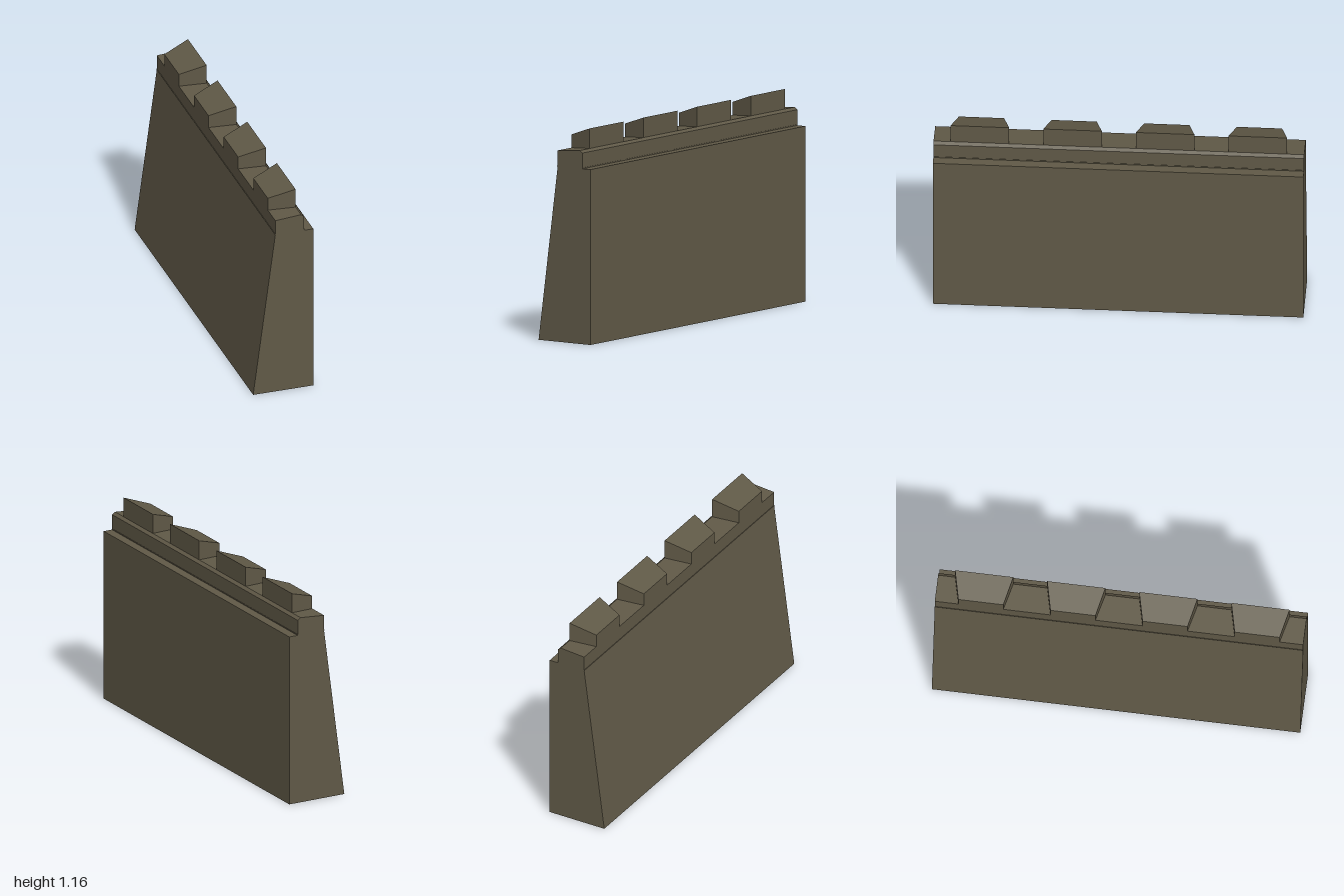
import * as THREE from 'three';

const stone = new THREE.MeshStandardMaterial({ color: 0x605947, side: THREE.DoubleSide });
stone.name = 'olive stone';

// Six-sided block whose corners are placed by a rule; the underside can be left open
function block(name, place, openBottom = false) {
  const geo = new THREE.BoxGeometry(2, 2, 2);
  const p = geo.attributes.position;
  for (let i = 0; i < p.count; i++) {
    p.setXYZ(i, ...place(p.getX(i) > 0, p.getY(i) > 0, Math.sign(p.getZ(i))));
  }
  if (openBottom) {
    const index = Array.from(geo.index.array);
    index.splice(18, 6);
    geo.setIndex(index);
    geo.clearGroups();
  }
  geo.computeVertexNormals();
  const mesh = new THREE.Mesh(geo, stone);
  mesh.name = name;
  return mesh;
}

// Profile in x and y, run along the whole length of the wall
function run(name, points, length) {
  const shape = new THREE.Shape(points.map(([x, y]) => new THREE.Vector2(x, y)));
  const geo = new THREE.ExtrudeGeometry(shape, { depth: length, bevelEnabled: false });
  geo.translate(0, 0, -length / 2);
  const mesh = new THREE.Mesh(geo, stone);
  mesh.name = name;
  return mesh;
}

export function createModel() {
  const group = new THREE.Group();
  group.name = 'battlementWall';

  // Hollow wall: upright on one side, leaning inward on the other
  group.add(block('wallBody', (right, top, s) =>
    [right ? 0.17 : top ? -0.046 : -0.172, top ? 0.955 : 0, s], true));

  // Thin course between wall and parapet
  group.add(run('thinCourse', [
    [-0.049, 0.954], [0.119, 0.954], [0.119, 0.96], [-0.049, 0.96],
  ], 2));

  // Parapet with sloped top and chamfered edge
  group.add(run('parapet', [
    [-0.046, 0.96], [0.117, 0.96], [0.117, 1.04], [0.1, 1.053], [-0.046, 1.041],
  ], 2));

  // Four wedge-shaped merlons, narrower and lower toward the leaning side
  for (const z of [-0.75, -0.25, 0.25, 0.75]) {
    group.add(block('merlon', (right, top, s) => [
      right ? 0.1 : -0.046,
      top ? (right ? 1.162 : 1.113) : (right ? 1.053 : 1.041),
      z + s * (right ? 0.158 : 0.122),
    ]));
  }
  return group;
}
